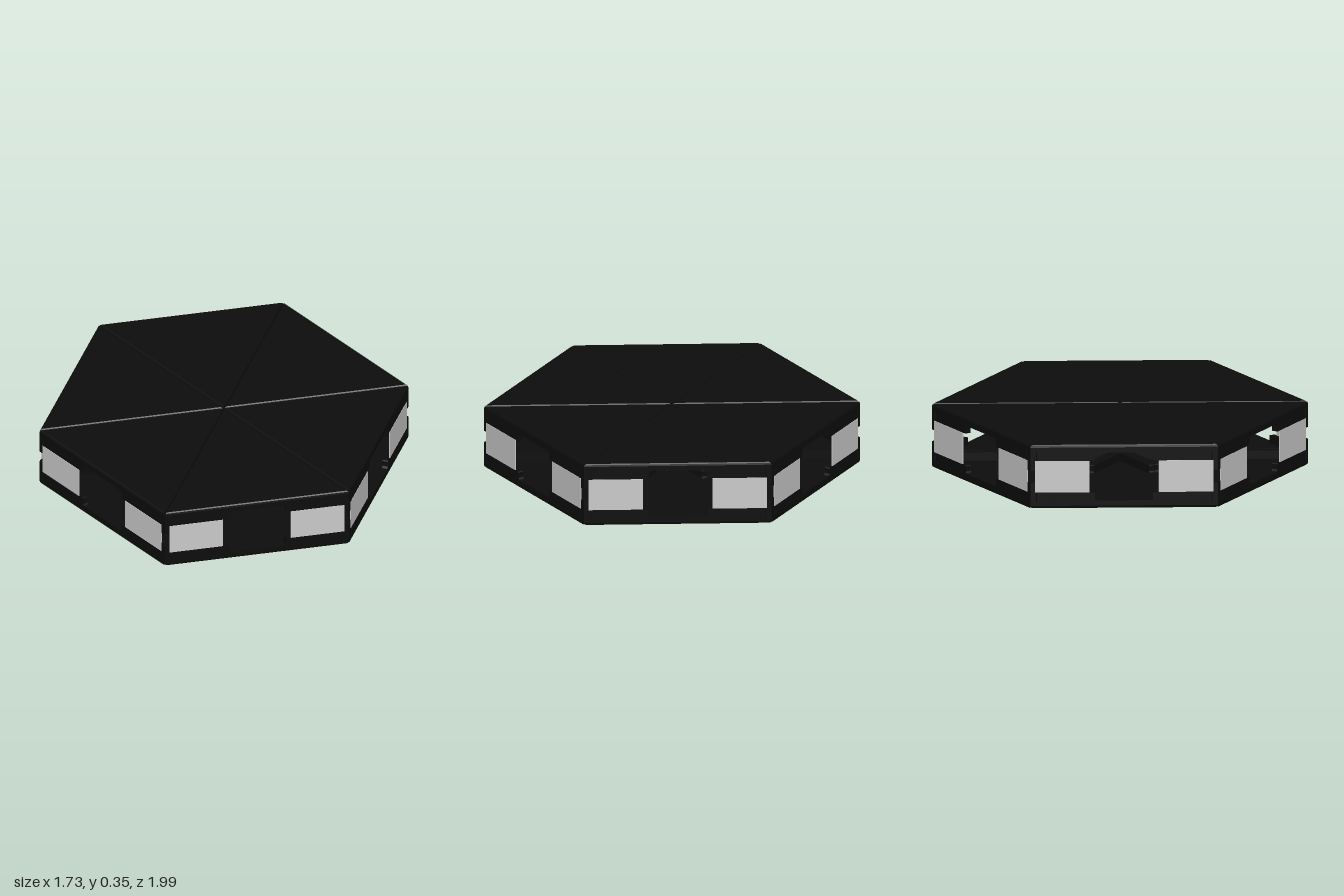
import * as THREE from 'three';

const H = 0.347;              // total height
const R = 1 / Math.sqrt(3);   // circumradius of a unit triangle
const A = R / 2;              // its apothem
const RIM = 0.03;             // rim thickness
const UNDER = 0.26;           // lower edge of the upper rim
const PLATE = 0.305;          // underside of the upper plate

const black = new THREE.MeshStandardMaterial({ color: 0x0d0d0d, flatShading: true });
const grey = new THREE.MeshStandardMaterial({ color: 0xcccccc });

function add(parent, name, geometry, material, x = 0, y = 0, z = 0) {
  const mesh = new THREE.Mesh(geometry, material);
  mesh.name = name;
  mesh.position.set(x, y, z);
  parent.add(mesh);
  return mesh;
}

// Triangular plate with softly bevelled upper edges
function plateGeometry() {
  const profile = [[0, PLATE], [R - 0.003, PLATE], [R - 0.003, H - 0.014], [R - 0.007, H - 0.005], [R - 0.018, H], [0, H]];
  return new THREE.LatheGeometry(profile.map(p => new THREE.Vector2(...p)), 3);
}

// Half of a rim along one edge, rounded into the central notch
function rimGeometry(side) {
  const inner = 0.154, outer = 0.5 - RIM / Math.sqrt(3), r = 0.018;
  const s = new THREE.Shape();
  s.moveTo(side * outer, UNDER);
  s.lineTo(side * (inner + 0.008), UNDER);
  s.quadraticCurveTo(side * inner, UNDER, side * inner, UNDER + 0.008);
  s.lineTo(side * inner, PLATE - r);
  s.quadraticCurveTo(side * inner, PLATE, side * (inner - r), PLATE);
  s.lineTo(side * (inner - r), PLATE + 0.005);
  s.lineTo(side * outer, PLATE + 0.005);
  s.closePath();
  const g = new THREE.ExtrudeGeometry(s, { depth: RIM, bevelEnabled: false, curveSegments: 4 });
  return g.translate(0, 0, A - 0.002 - RIM);
}

// Upper half of a wedge: plate, notched rims and corner tabs
function wedgeShell() {
  const shell = new THREE.Group();
  add(shell, 'plate', plateGeometry(), black);
  const tabR = 0.045 / Math.sqrt(3), tabLow = 0.207;
  for (let i = 0; i < 3; i++) {
    const corner = i * Math.PI * 2 / 3;
    const edge = new THREE.Group();
    edge.name = 'edgeRim';
    edge.rotation.y = corner + Math.PI;
    for (const side of [-1, 1]) add(edge, 'rimHalf', rimGeometry(side), black);
    shell.add(edge);

    const d = R - 0.003 - tabR, h = PLATE + 0.005 - tabLow;
    const tab = add(shell, 'cornerTab', new THREE.CylinderGeometry(tabR, tabR, h, 3), black,
      Math.sin(corner) * d, tabLow + h / 2, Math.cos(corner) * d);
    tab.rotation.y = corner;
  }
  return shell;
}

export function createModel() {
  const model = new THREE.Group();
  model.name = 'hexagonalDeck';

  for (let k = 0; k < 6; k++) {
    const a = Math.PI / 2 + k * Math.PI / 3;
    const wedge = new THREE.Group();
    wedge.name = 'wedge';
    wedge.rotation.y = a;
    wedge.position.set(-Math.sin(a) * R, 0, -Math.cos(a) * R);

    const upper = wedgeShell();
    upper.name = 'upperShell';
    // The lower shell is the upper one turned over about the wedge's axis
    const lower = wedgeShell();
    lower.name = 'lowerShell';
    lower.rotation.z = Math.PI;
    lower.position.y = H;
    wedge.add(upper, lower);

    // Two thin panels close the outer face beside its central opening
    for (const side of [-1, 1]) {
      add(wedge, 'sidePanel', new THREE.BoxGeometry(0.289, 2 * UNDER - H, 0.006), grey,
        side * 0.328, H / 2, -A + 0.003);
    }
    model.add(wedge);
  }
  return model;
}
